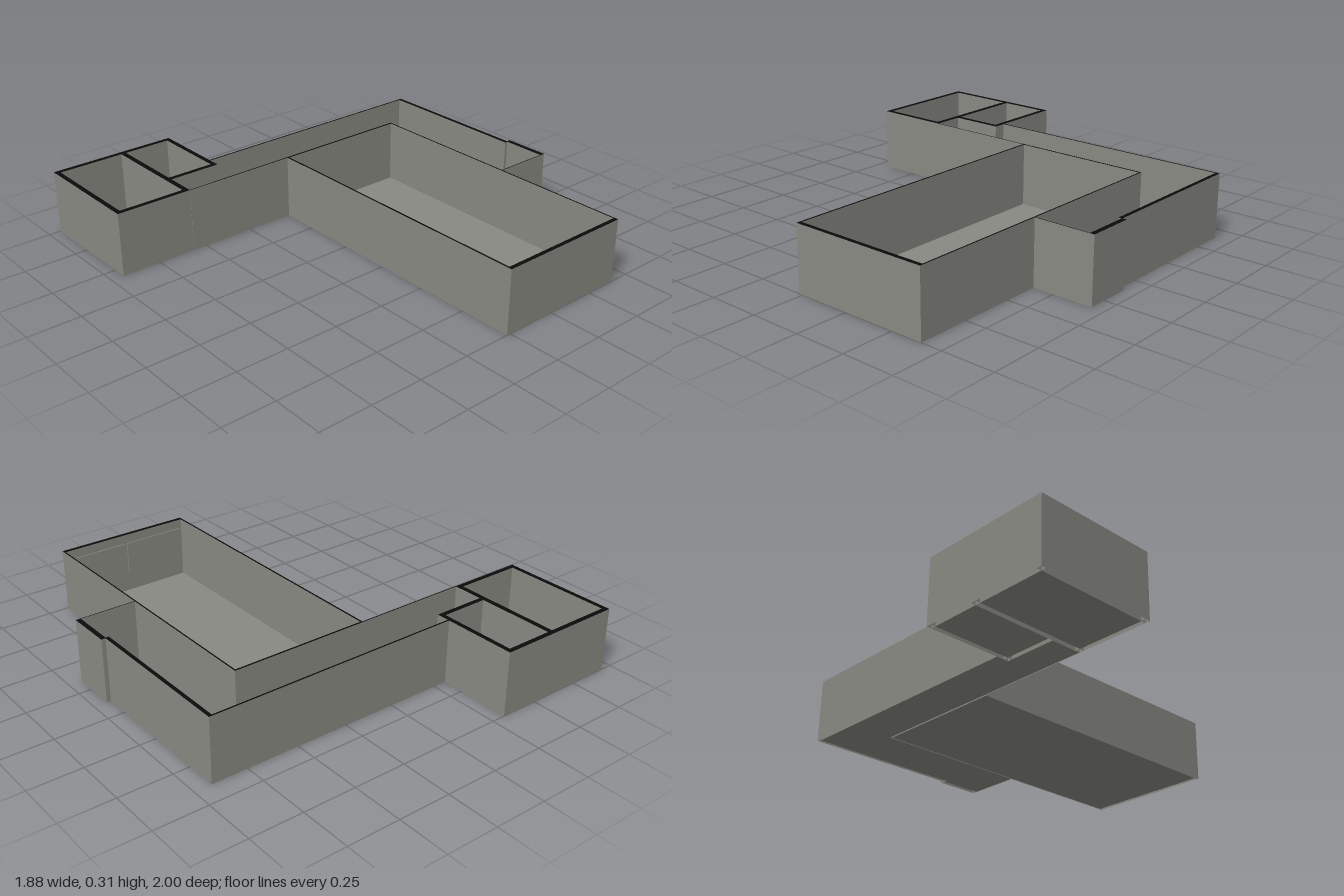
import * as THREE from 'three';

const H = 0.305; // wall height

export function createModel() {
  const model = new THREE.Group();
  model.name = 'openFloorPlan';

  const plaster = new THREE.MeshStandardMaterial({ color: 0x888981, side: THREE.DoubleSide });
  plaster.name = 'warmGrey';
  const cut = new THREE.MeshStandardMaterial({ color: 0x0a0a0a });
  cut.name = 'blackWallTop';

  // Box between two plan corners and two heights
  function block(x0, x1, y0, y1, z0, z1) {
    return new THREE.BoxGeometry(x1 - x0, y1 - y0, z1 - z0)
      .translate((x0 + x1) / 2, (y0 + y1) / 2, (z0 + z1) / 2);
  }

  // Wall hollow below, with a black top face
  function wall(name, x0, x1, z0, z1) {
    const geo = block(x0, x1, 0, H, z0, z1);
    const index = Array.from(geo.index.array);
    geo.setIndex([...index.slice(0, 18), ...index.slice(24)]);
    geo.clearGroups();
    geo.addGroup(0, 12, 0);
    geo.addGroup(12, 6, 1);
    geo.addGroup(18, 12, 0);
    const mesh = new THREE.Mesh(geo, [plaster, cut]);
    mesh.name = name;
    model.add(mesh);
  }

  function slab(name, ...bounds) {
    const mesh = new THREE.Mesh(block(...bounds), plaster);
    mesh.name = name;
    model.add(mesh);
  }

  // Walls: name, x from, x to, z from, z to
  const walls = [
    // two small rooms at the back right
    ['largeRoomBackWall', -0.94, -0.57, -1, -0.977],
    ['largeRoomOuterWall', -0.94, -0.917, -1, -0.43],
    ['largeRoomFrontWall', -0.94, -0.57, -0.453, -0.43],
    ['roomDividerWall', -0.595, -0.57, -1, -0.43],
    ['smallRoomBackWall', -0.57, -0.315, -1, -0.977],
    ['smallRoomSideWall', -0.338, -0.315, -1, -0.58],
    ['smallRoomFrontWall', -0.57, -0.315, -0.603, -0.58],
    // L-shaped corridor
    ['corridorBackWall', -0.315, 0.92, -0.648, -0.64],
    ['corridorFrontWall', -0.57, -0.018, -0.433, -0.428],
    ['corridorSideWall', 0.902, 0.92, -0.648, 0.12],
    ['corridorJogWall', 0.902, 0.94, 0.115, 0.12],
    ['corridorOffsetWall', 0.917, 0.94, 0.12, 0.335],
    ['corridorEndWall', 0.65, 0.94, 0.331, 0.335],
    // long hall
    ['hallBackWall', -0.018, 0.65, -0.433, -0.424],
    ['hallRightWall', -0.018, -0.009, -0.433, 1],
    ['hallLeftWall', 0.643, 0.65, -0.433, 1],
    ['hallFrontWall', -0.018, 0.65, 0.98, 1],
  ];
  for (const w of walls) wall(...w);

  // Floors
  slab('largeRoomFloor', -0.917, -0.595, 0, 0.004, -0.977, -0.453);
  slab('smallRoomFloor', -0.57, -0.338, 0, 0.004, -0.977, -0.603);
  slab('corridorNookFloor', -0.57, -0.315, 0, 0.004, -0.58, -0.433);
  slab('corridorFloor', -0.315, 0.902, 0, 0.004, -0.64, -0.433);
  slab('corridorWingFloor', 0.65, 0.902, 0, 0.004, -0.433, 0.331);
  slab('corridorOffsetFloor', 0.902, 0.917, 0, 0.004, 0.12, 0.331);
  slab('hallFloor', -0.009, 0.643, 0, 0.004, -0.424, 0.98);

  // Two flat boards on the inside of the hall front wall
  for (const x of [0.005, 0.325]) {
    slab('hallBoard', x, x + 0.305, 0.105, 0.26, 0.974, 0.981);
  }

  return model;
}
